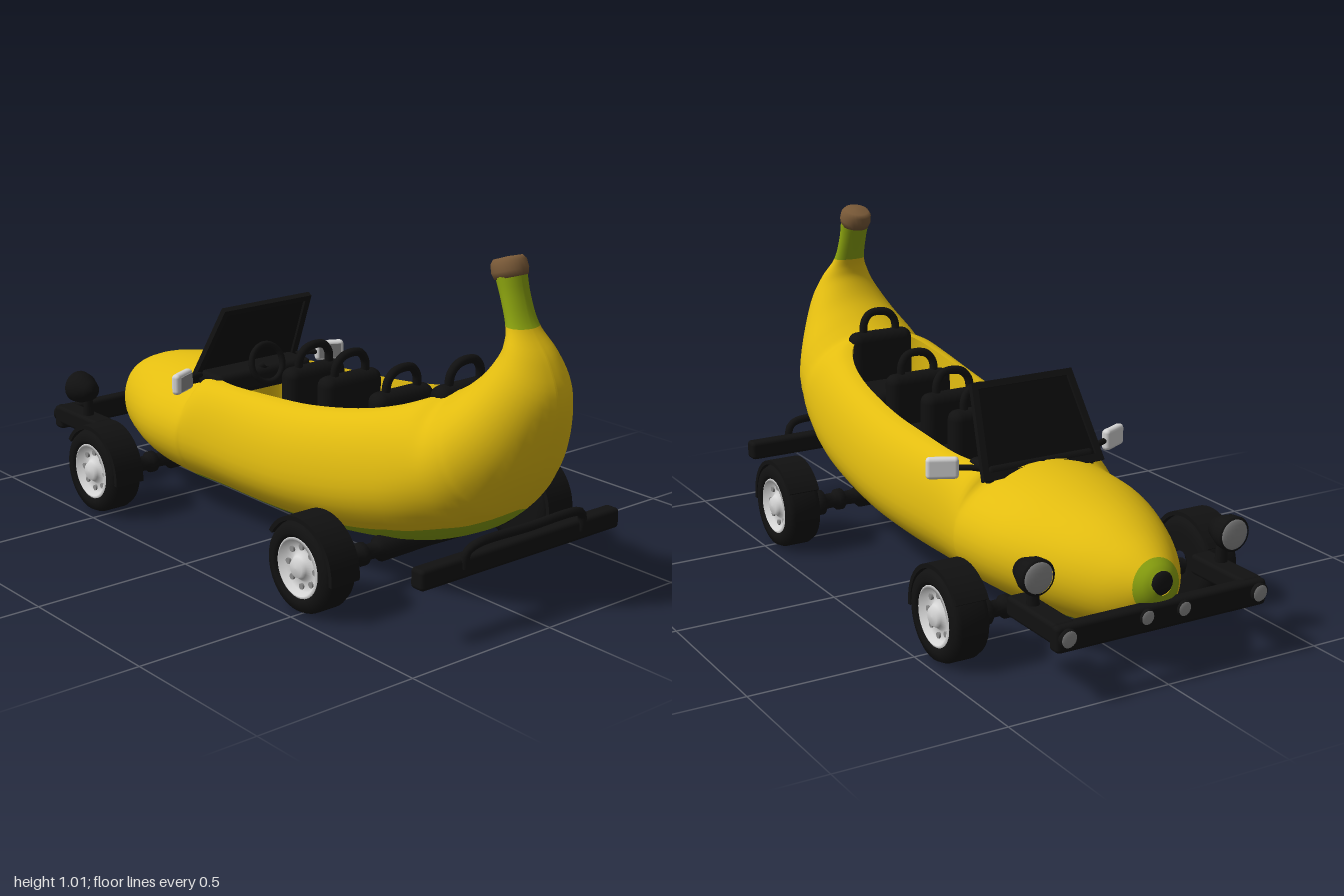
import * as THREE from 'three';
import { mergeVertices } from 'three/addons/utils/BufferGeometryUtils.js';
import { RoundedBoxGeometry } from 'three/addons/geometries/RoundedBoxGeometry.js';

const material = (name, color, side = THREE.FrontSide) =>
  Object.assign(new THREE.MeshStandardMaterial({ color, side }), { name });
const yellow = material('banana yellow', 0xe3bd10, THREE.DoubleSide);
const green = material('unripe green', 0x8ca40f, THREE.DoubleSide);
const brown = material('stem brown', 0x7a5a38);
const black = material('black trim', 0x111111);
const glass = material('dark glass', 0x0b0b0c, THREE.DoubleSide);
const silver = material('silver', 0xd6d6d6);
const grey = material('lens grey', 0x8c8c8c);

// Hull stations: ridge x, ridge y, half width, keel x, keel y, cockpit half width
const stations = [
  [-.955, .305, .03, -.965, .245, 0], [-.93, .33, .065, -.95, .2, 0],
  [-.86, .37, .13, -.87, .12, 0], [-.74, .41, .195, -.74, .088, 0],
  [-.55, .44, .265, -.55, .072, 0], [-.37, .45, .285, -.37, .065, 0],
  [-.32, .45, .28, -.32, .065, .14], [-.2, .45, .275, -.2, .065, .18],
  [0, .462, .29, 0, .07, .185], [.2, .48, .295, .2, .08, .185],
  [.4, .515, .285, .42, .105, .175], [.54, .553, .27, .6, .145, .15],
  [.63, .59, .25, .74, .205, .1], [.68, .615, .235, .81, .25, 0],
  [.74, .655, .215, .88, .32, 0], [.79, .7, .17, .955, .45, 0],
  [.825, .755, .115, 1, .62, 0], [.832, .79, .08, .965, .735, 0],
  [.825, .825, .053, .9, .82, 0], [.8, .89, .046, .867, .9, 0],
  [.772, .955, .048, .85, .975, 0],
];
const spline = (o) => new THREE.CatmullRomCurve3(
  stations.map((s) => new THREE.Vector3(s[o], s[o + 1], s[o + 2])), false, 'catmullrom');
const ridge = spline(0), keel = spline(3), last = stations.length - 1;

// Lofts half sections (k = 0 at the centre line, k = n at the rim), mirrored in z
function loft(from, to, n, section, isGreen) {
  const pos = [], parts = [[], []], steps = (to - from) * 5, row = 2 * n + 1;
  for (let i = 0; i <= steps; i++) {
    const s = from + i / 5, a = ridge.getPoint(s / last), b = keel.getPoint(s / last);
    for (let j = n; j >= -n; j--) {
      const [h, z] = section(s, Math.abs(j), a.z, Math.max(0, b.z));
      pos.push(b.x + (a.x - b.x) * h, b.y + (a.y - b.y) * h, Math.sign(j) * z);
    }
  }
  for (let i = 0; i < steps; i++) for (let j = 0; j < row - 1; j++) {
    const a = i * row + j, b = a + row, k = Math.min(Math.abs(n - j), Math.abs(n - j - 1));
    parts[isGreen(from + (i + .5) / 5, k) ? 1 : 0].push(a, a + 1, b, b, a + 1, b + 1);
  }
  let g = new THREE.BufferGeometry();
  g.setAttribute('position', new THREE.Float32BufferAttribute(pos, 3));
  g.setIndex(parts.flat());
  g = mergeVertices(g, 1e-4);
  g.clearGroups();
  g.addGroup(0, parts[0].length, 0);
  g.addGroup(parts[0].length, parts[1].length, 1);
  g.computeVertexNormals();
  return g;
}

function add(parent, name, geometry, mat, x = 0, y = 0, z = 0) {
  const m = new THREE.Mesh(geometry, mat);
  m.name = name;
  m.position.set(x, y, z);
  parent.add(m);
  return m;
}
const box = (w, h, d, r = .012) => new RoundedBoxGeometry(w, h, d, 2, r);
const lathe = (pts, seg = 32) => new THREE.LatheGeometry(pts.map((p) => new THREE.Vector2(...p)), seg);
const tube = (pts, r) => new THREE.TubeGeometry(
  new THREE.CatmullRomCurve3(pts.map((p) => new THREE.Vector3(...p)), false, 'centripetal'), 32, r, 10);

// Wheel faces +z
function makeWheel() {
  const g = new THREE.Group();
  g.name = 'wheel';
  add(g, 'tyre', lathe([[.03, -.055], [.1, -.058], [.125, -.052], [.133, -.035], [.133, .035],
    [.125, .052], [.1, .058], [.088, .05], [.085, .02]], 40).rotateX(Math.PI / 2), black);
  add(g, 'rim', lathe([[.088, .05], [.08, .054], [.072, .035], [.045, .03], [.032, .045],
    [.026, .056], [0, .058]].reverse(), 32).rotateX(Math.PI / 2), silver).material.side = THREE.DoubleSide;
  for (let i = 0; i < 8; i++) {
    const a = i * Math.PI / 4;
    add(g, 'rim slot', new THREE.CylinderGeometry(.009, .009, .008, 10).rotateX(Math.PI / 2), grey,
      .058 * Math.cos(a), .058 * Math.sin(a), .034);
  }
  return g;
}

function makeFender() {
  const s = new THREE.Shape();
  s.absarc(0, 0, .147, -.1, 2.6, false);
  s.absarc(0, 0, .134, 2.6, -.1, true);
  return new THREE.ExtrudeGeometry(s, { depth: .1, bevelEnabled: false, curveSegments: 24 });
}

export function createModel() {
  const model = new THREE.Group();
  model.name = 'bananaCar';

  // Hull with green underside, nose and stem
  const under = 8, upper = 16, clamp = THREE.MathUtils.clamp;
  const hull = loft(0, last, under + upper, (s, k, w, rim) => {
    const taper = clamp(Math.min((s - 1.5) / 2.5, (13.8 - s) / 3), .002, 1);
    const low = -Math.PI / 2, edge = low + .84 * Math.sqrt(taper);
    const t = k <= under ? low + (edge - low) * k / under : edge + (Math.PI / 2 - edge) * (k - under) / upper;
    return [.5 + .5 * Math.sin(t), t < 0 ? w * Math.cos(t) : rim + (w - rim) * Math.cos(t)];
  }, (s, k) => s < 1.2 || s > 18 || (k < under && s > 1.5 && s < 13.8));
  add(model, 'bananaHull', hull, [yellow, green]);
  const wall = [[.36, 0], [.36, .6], [.36, .93], [.6, .96], [.9, .99], [1, 1]];
  add(model, 'cockpitTub', loft(5, 13, 5, (s, k, w, rim) => [wall[k][0], wall[k][1] * rim], () => false),
    [yellow, green]);
  add(model, 'stemCap', lathe([[0, -.03], [.046, -.03], [.051, -.012], [.049, .012], [.04, .024], [0, .026]], 24),
    brown, .807, .973).rotation.z = .3;
  add(model, 'noseTip', new THREE.SphereGeometry(.034, 20, 12).scale(.4, 1, 1), black, -.957, .277);

  // Seats with looped headrests
  for (const [x, y] of [[-.015, .525], [.155, .535], [.385, .54], [.645, .62]]) {
    const seat = new THREE.Group();
    seat.name = 'seat';
    seat.position.set(x, y, 0);
    add(seat, 'backrest', box(.07, .24, .22, .03), black, 0, -.12, 0);
    add(seat, 'cushion', box(.2, .08, .24, .03), black, -.1, -.2, 0);
    add(seat, 'headrest', tube([[0, -.02, .06], [.005, .03, .055], [.008, .056, .03], [.008, .058, -.03],
      [.005, .03, -.055], [0, -.02, -.06]], .013), black);
    model.add(seat);
  }

  // Dashboard, steering wheel and windscreen
  add(model, 'dashboard', box(.12, .07, .37, .02), black, -.305, .425);
  add(model, 'steeringWheel', new THREE.TorusGeometry(.06, .01, 8, 28).rotateY(Math.PI / 2), black,
    -.245, .475).rotation.z = .25;
  add(model, 'steeringColumn', tube([[-.3, .44, 0], [-.27, .46, 0], [-.245, .475, 0]], .012), black);
  const pane = (a, b, y0, y1) => [[-a, y0], [a, y0], [b, y1], [-b, y1]].map((p) => new THREE.Vector2(...p));
  const frame = new THREE.Shape(pane(.205, .17, 0, .285));
  frame.holes.push(new THREE.Path(pane(.182, .152, .022, .265)));
  add(model, 'windscreenFrame', new THREE.ExtrudeGeometry(frame, { depth: .018, bevelEnabled: false })
    .rotateY(Math.PI / 2), black, -.38, .425).rotation.z = -.48;
  add(model, 'windscreenGlass', new THREE.ShapeGeometry(new THREE.Shape(pane(.184, .154, .02, .267)))
    .rotateY(Math.PI / 2), glass, -.372, .421).rotation.z = -.48;

  // Axles and wheels
  for (const x of [-.555, .49]) {
    const half = [[.035, 0], [.037, .09], [.038, .17], [.024, .185], [.022, .22], [.034, .23], [.034, .25],
      [.024, .26], [.024, .29], [.04, .3], [.04, .325], [.025, .335], [.025, .37]];
    const profile = [...half.slice(1).reverse().map(([r, y]) => [r, -y]), ...half];
    add(model, 'axle', lathe(profile, 16).rotateX(Math.PI / 2), black, x, .118);
    for (const side of [1, -1]) {
      const wheel = makeWheel();
      wheel.position.set(x, .135, side * .418);
      wheel.rotation.y = side > 0 ? 0 : Math.PI;
      model.add(wheel);
      add(model, 'fender', makeFender(), black, x, .135, side * .418 - .05);
    }
  }

  // Rear bumper with guard loop
  add(model, 'rearBumper', box(.05, .06, .76), black, .875, .2);
  add(model, 'rearGuard', tube([[.895, .2, .225], [.9, .245, .222], [.908, .265, .195], [.908, .266, 0],
    [.908, .265, -.195], [.9, .245, -.222], [.895, .2, -.225]], .013), black);

  // Front bumper, lamps and mirrors
  add(model, 'frontBumper', box(.045, .075, .68), black, -.955, .19);
  const lamp = (x, y, z, r, depth, name) => {
    add(model, name, lathe([[0, -depth], [r * .6, -depth * .9], [r * .95, -depth * .35], [r, 0], [r * .85, .004]], 24)
      .rotateZ(Math.PI / 2), black, x, y, z);
    add(model, name + 'Lens', new THREE.SphereGeometry(r * .88, 20, 10).scale(.2, 1, 1), grey, x, y, z);
  };
  for (const side of [1, -1]) {
    add(model, 'bumperArm', box(.24, .06, .07), black, -.84, .2, side * .305);
    add(model, 'headlightStand', new THREE.CylinderGeometry(.014, .02, .09, 10), black, -.81, .25, side * .31);
    lamp(-.85, .32, side * .32, .052, .085, 'headlight');
    lamp(-.985, .195, side * .31, .028, .03, 'foglight');
    lamp(-.98, .2, side * .06, .024, .03, 'centreLamp');
    add(model, 'mirror', box(.028, .065, .095), silver, -.293, .457, side * .292).rotation.y = side * .45;
    add(model, 'mirrorGlass', new THREE.BoxGeometry(.004, .045, .072), grey,
      -.279, .457, side * .286).rotation.y = side * .45;
    add(model, 'mirrorArm', tube([[-.34, .45, side * .19], [-.325, .455, side * .22], [-.3, .455, side * .27]], .009), black);
  }
  return model;
}
